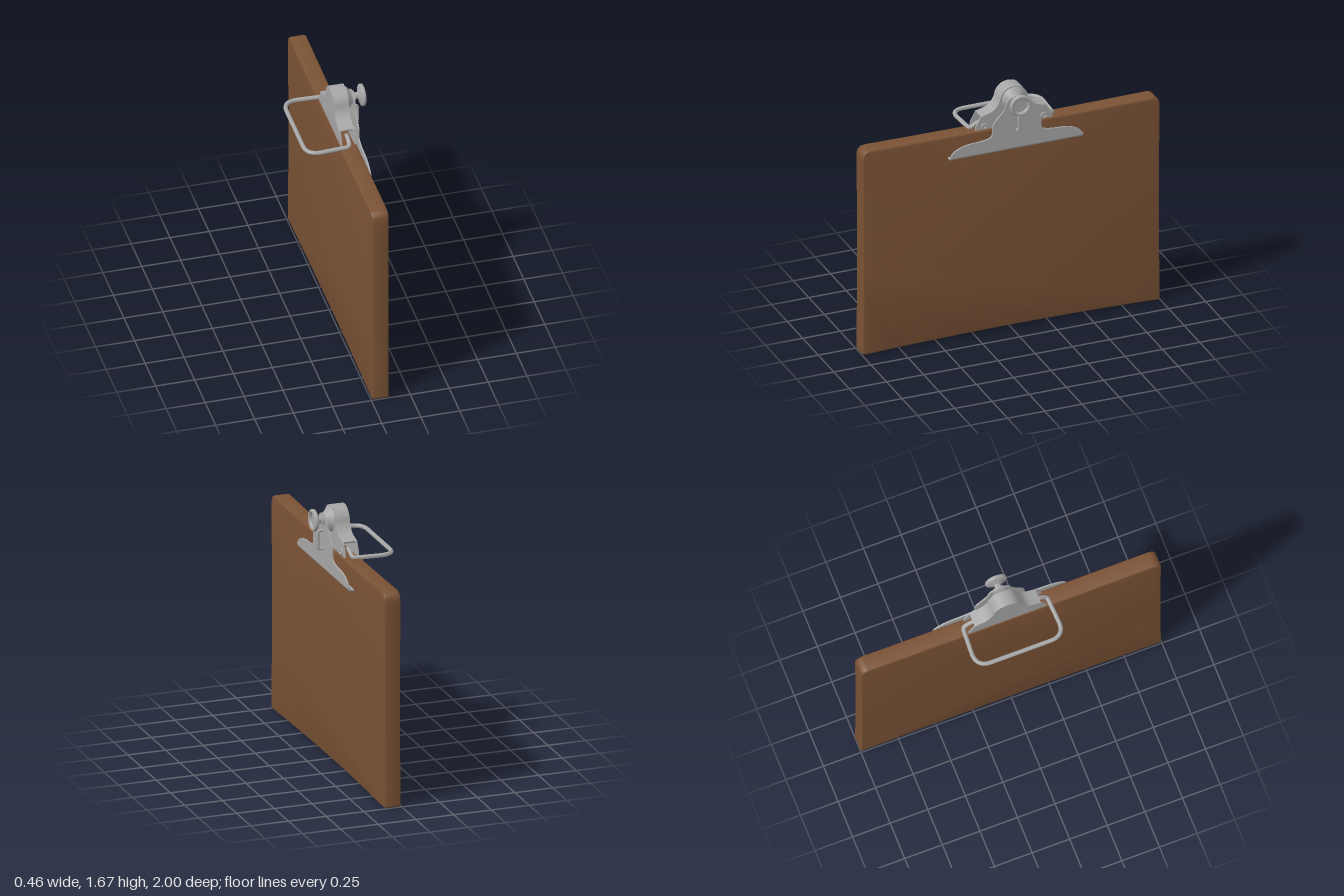
import * as THREE from 'three';
import { toCreasedNormals } from 'three/addons/utils/BufferGeometryUtils.js';

const V2 = (x, y) => new THREE.Vector2(x, y);
const V3 = (x, y, z) => new THREE.Vector3(x, y, z);

export function createModel() {
  const model = new THREE.Group();
  model.name = 'clipboard';
  const wood = new THREE.MeshStandardMaterial({ color: 0x7a5235 });
  wood.name = 'brown board';
  const metal = new THREE.MeshStandardMaterial({ color: 0xa6a6a6, side: THREE.DoubleSide });
  metal.name = 'grey metal';

  const add = (parent, name, geometry, material) => {
    const mesh = new THREE.Mesh(geometry, material);
    mesh.name = name;
    parent.add(mesh);
    return mesh;
  };
  // Extrude an upright (-z, y) outline along x, from x0 to x1, edges rounded by bevel
  const slab = (shape, x0, x1, bevel = 0) => {
    const g = new THREE.ExtrudeGeometry(shape, {
      depth: x1 - x0 - 2 * bevel, curveSegments: 12, bevelEnabled: bevel > 0,
      bevelThickness: bevel, bevelSize: bevel, bevelOffset: -bevel, bevelSegments: 3,
    });
    g.rotateY(Math.PI / 2).translate(x0 + bevel, 0, 0);
    return toCreasedNormals(g, 0.6);
  };
  // Turned part along x; points are (radius, x)
  const turned = (points, y) => {
    const g = new THREE.LatheGeometry(points.map(p => V2(...p)), 32);
    g.rotateZ(-Math.PI / 2).translate(0, y, 0);
    return toCreasedNormals(g, 0.6);
  };
  // Mirror the right half of an outline: bottom right up to the middle, then down the left
  const mirrored = half => [...half, ...half.slice().reverse().filter(p => p[0] > 0).map(p => [-p[0], p[1]])];

  // Board: rounded top corners, slightly hollow bottom edge
  const board = new THREE.Shape();
  board.moveTo(-0.985, 0);
  board.quadraticCurveTo(0, 0.036, 0.985, 0);
  board.quadraticCurveTo(1, 0, 1, 0.02);
  board.quadraticCurveTo(0.992, 0.7, 1, 1.35);
  board.quadraticCurveTo(1, 1.413, 0.94, 1.413);
  board.quadraticCurveTo(0, 1.401, -0.94, 1.413);
  board.quadraticCurveTo(-1, 1.413, -1, 1.35);
  board.quadraticCurveTo(-0.992, 0.7, -1, 0.02);
  board.quadraticCurveTo(-1, 0, -0.985, 0);
  add(model, 'board', slab(board, 0.005, 0.114, 0.012), wood);

  const clip = new THREE.Group();
  clip.name = 'clip';
  clip.position.z = -0.02;
  model.add(clip);

  // Bell-shaped housing: bent top strip between two upright cheeks
  const bell = new THREE.SplineCurve(mirrored([
    [0.22, 1.5], [0.14, 1.525], [0.102, 1.57], [0.085, 1.62], [0.05, 1.66], [0, 1.672],
  ]).map(p => V2(...p)));
  const outer = bell.getPoints(48);
  const inner = outer.map((p, i) => {
    const t = bell.getTangent(i / 48);
    return V2(p.x - t.y * 0.012, p.y + t.x * 0.012);
  });
  add(clip, 'housingTop', slab(new THREE.Shape([...outer, ...inner.reverse()]), 0.01, 0.105), metal);
  for (const [name, x] of [['backCheek', 0.01], ['frontCheek', 0.097]]) {
    const cheek = new THREE.Shape([V2(-0.26, 1.41), V2(0.26, 1.41), V2(0.255, 1.435), ...outer, V2(-0.255, 1.435)]);
    add(clip, name, slab(cheek, x, x + 0.01), metal);
  }
  add(clip, 'housingNose', turned([
    [0.088, 0.09], [0.083, 0.105], [0.068, 0.122], [0.052, 0.137], [0.042, 0.15], [0.04, 0.16], [0, 0.16],
  ], 1.585), metal);

  // Pressing plate: broad foot, straight neck, tapering top
  const plate = new THREE.Shape();
  plate.moveTo(-0.445, 1.275);
  plate.lineTo(0.445, 1.275);
  plate.bezierCurveTo(0.44, 1.32, 0.37, 1.35, 0.29, 1.352);
  plate.bezierCurveTo(0.22, 1.355, 0.165, 1.36, 0.165, 1.39);
  plate.lineTo(0.165, 1.43);
  plate.bezierCurveTo(0.16, 1.48, 0.09, 1.51, 0.075, 1.57);
  plate.bezierCurveTo(0.06, 1.645, -0.06, 1.645, -0.075, 1.57);
  plate.bezierCurveTo(-0.09, 1.51, -0.16, 1.48, -0.165, 1.43);
  plate.lineTo(-0.165, 1.39);
  plate.bezierCurveTo(-0.165, 1.36, -0.22, 1.355, -0.29, 1.352);
  plate.bezierCurveTo(-0.37, 1.35, -0.44, 1.32, -0.445, 1.275);
  add(clip, 'pressingPlate', slab(plate, 0.146, 0.157), metal);

  // Curled lip along the foot of the plate
  const lip = new THREE.Shape();
  lip.moveTo(0.157, 1.285);
  lip.quadraticCurveTo(0.157, 1.258, 0.135, 1.258);
  lip.lineTo(0.114, 1.258);
  lip.lineTo(0.114, 1.268);
  lip.lineTo(0.133, 1.268);
  lip.quadraticCurveTo(0.146, 1.268, 0.146, 1.285);
  const lipGeometry = new THREE.ExtrudeGeometry(lip, { depth: 0.89, bevelEnabled: false, curveSegments: 8 });
  lipGeometry.translate(0, 0, -0.445);
  add(clip, 'plateLip', toCreasedNormals(lipGeometry, 0.6), metal);

  // Rounded wire through straight runs and softened corners
  const wire = (points, corner, radius) => {
    const path = new THREE.CurvePath();
    let from = points[0];
    for (let i = 1; i < points.length - 1; i++) {
      const p = points[i], q = points[i + 1];
      const cut = Math.min(corner, p.distanceTo(from) * 0.8, p.distanceTo(q) * 0.45);
      const a = p.clone().add(from.clone().sub(p).setLength(cut));
      const b = p.clone().add(q.clone().sub(p).setLength(cut));
      path.add(new THREE.LineCurve3(from, a));
      path.add(new THREE.QuadraticBezierCurve3(a, p, b));
      from = b;
    }
    path.add(new THREE.LineCurve3(from, points[points.length - 1]));
    return new THREE.TubeGeometry(path, 120, radius, 10, false);
  };
  add(clip, 'staple', wire([
    V3(0.15, 1.515, 0), V3(0.188, 1.515, 0), V3(0.188, 1.395, 0), V3(0.15, 1.395, 0),
  ], 0.02, 0.01), metal);

  // Hanging loop behind the board, its ends hooked into the housing
  const loopHalf = [V3(0.062, 1.45, 0.2), V3(0.064, 1.44, 0.24), V3(0.062, 1.412, 0.28), V3(-0.215, 1.41, 0.295)];
  const loopPoints = [...loopHalf, ...loopHalf.slice().reverse().map(p => V3(p.x, p.y, -p.z))];
  add(clip, 'hangingLoop', wire(loopPoints, 0.1, 0.014), metal);

  // Rivets at the cheek ends
  for (const side of [-1, 1]) {
    const rivet = add(clip, 'rivet', new THREE.TorusGeometry(0.016, 0.006, 8, 20), metal);
    rivet.rotation.y = Math.PI / 2;
    rivet.position.set(0.108, 1.432, side * 0.2);
  }

  // Knob with a stem and dished flange
  add(clip, 'knob', turned([
    [0.034, 0.155], [0.034, 0.166], [0.022, 0.17], [0.022, 0.188], [0.04, 0.198], [0.06, 0.2], [0.07, 0.207],
    [0.072, 0.216], [0.068, 0.226], [0.06, 0.23], [0.05, 0.226], [0.046, 0.212], [0, 0.21],
  ], 1.587), metal);

  return model;
}
